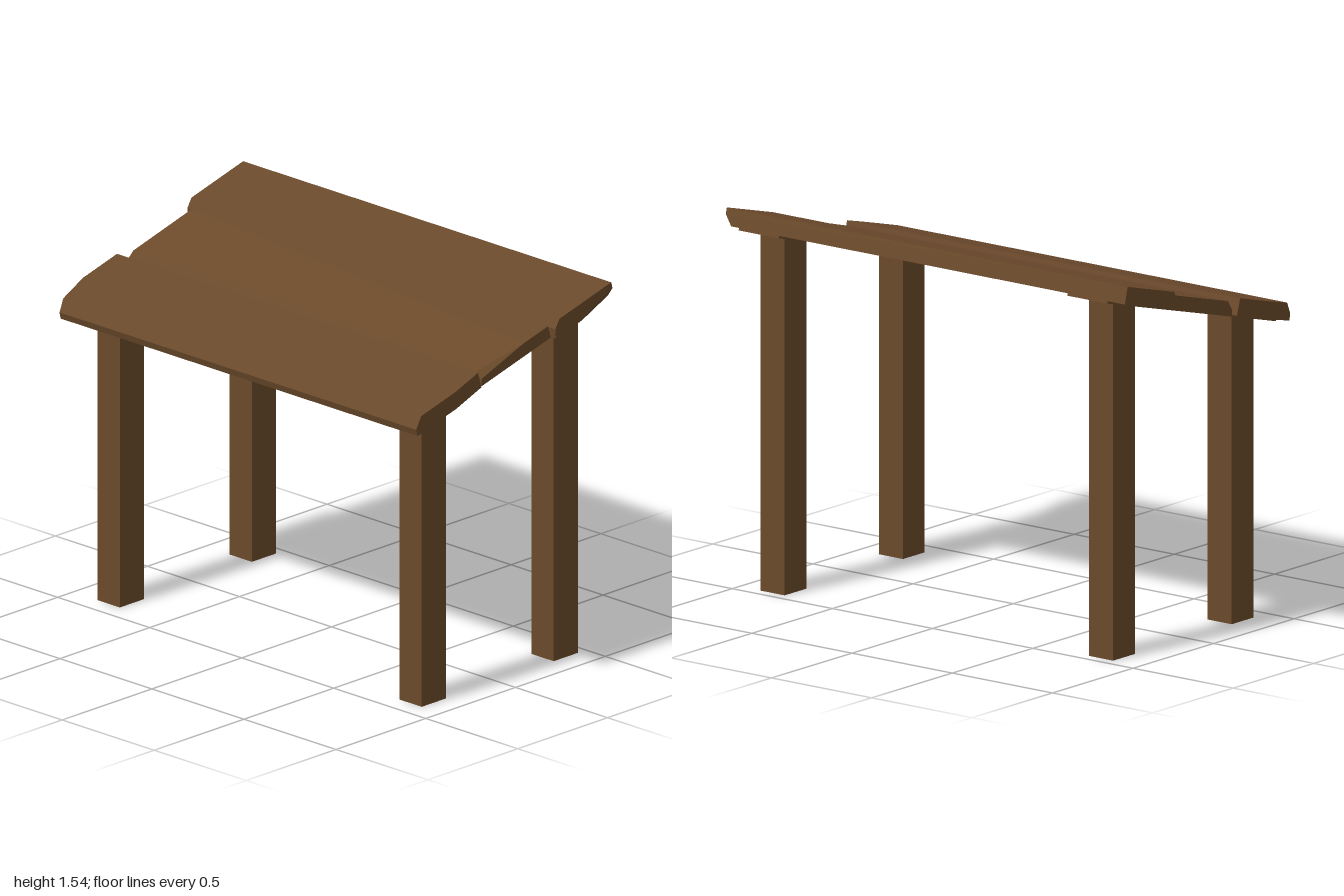
import * as THREE from 'three';
import { ConvexGeometry } from 'three/addons/geometries/ConvexGeometry.js';

// height of the sloping roof underside at depth z
const underside = (z) => 1.178 + (0.545 - z) * 0.266;

export function createModel() {
  const model = new THREE.Group();
  const wood = new THREE.MeshStandardMaterial({ color: 0x6b4a2b, flatShading: true });
  const openWood = wood.clone();
  openWood.side = THREE.DoubleSide;

  const add = (name, geometry, material = wood) => {
    const mesh = new THREE.Mesh(geometry, material);
    mesh.name = name;
    model.add(mesh);
  };

  // convex board from corners [x, z, height above the roof underside]
  const board = (name, corners) => add(name, new ConvexGeometry(
    corners.map(([x, z, h]) => new THREE.Vector3(x, underside(z) + h, z))));

  // front plank: bevelled front edge, cut corners at both ends
  board('frontPlank', [
    [-0.98, 0.17, 0], [0.98, 0.17, 0], [1, 0.33, 0], [1, 0.545, 0], [-0.94, 0.545, 0], [-0.98, 0.38, 0],
    [-0.938, 0.553, 0.03], [1, 0.553, 0.03],
    [-0.98, 0.19, 0.072], [0.982, 0.19, 0.072], [1, 0.33, 0.072], [1, 0.525, 0.072],
    [-0.945, 0.525, 0.072], [-0.98, 0.38, 0.072],
  ]);

  // middle plank: thinner and shorter, with chipped upper front corners
  board('middlePlank', [
    [-0.96, -0.222, 0], [0.975, -0.222, 0], [0.975, 0.165, 0], [-0.96, 0.165, 0],
    [-0.96, -0.206, 0.055], [0.975, -0.206, 0.055], [0.975, -0.07, 0.055],
    [0.945, 0.165, 0.053], [-0.94, 0.165, 0.053], [-0.96, 0.12, 0.054],
    [0.975, 0.165, 0.03], [-0.96, 0.165, 0.02],
  ]);

  // back plank: bevelled front edge, chipped lower back corner
  board('backPlank', [
    [-1, -0.225, 0], [1, -0.225, 0], [1, -0.37, 0], [0.965, -0.55, 0], [-1, -0.55, 0],
    [-1, -0.222, 0.04], [1, -0.222, 0.04],
    [-1, -0.245, 0.072], [1, -0.245, 0.072], [1, -0.533, 0.072], [-1, -0.533, 0.072],
    [1, -0.54, 0.045],
  ]);

  for (const [side, legX, battenX] of [['right', -0.805, -0.8], ['left', 0.835, 0.84]]) {
    // thin batten under the planks
    const corners = [];
    for (const dx of [-0.1, 0.1]) {
      corners.push([battenX + dx, 0.51, -0.011], [battenX + dx, 0.517, 0.018],
        [battenX + dx, -0.535, -0.011], [battenX + dx, -0.528, 0.018]);
    }
    board(side + 'Batten', corners);

    // hollow legs, tops cut to the roof slope
    for (const [end, z] of [['Front', 0.3475], ['Back', -0.3875]]) {
      const leg = new THREE.CylinderGeometry(Math.SQRT1_2, Math.SQRT1_2, 1, 4, 1, true);
      leg.rotateY(Math.PI / 4);
      leg.scale(0.12, 1, 0.135);
      leg.translate(legX, 0.5, z);
      const p = leg.attributes.position;
      for (let i = 0; i < p.count; i++) {
        p.setY(i, p.getY(i) > 0.5 ? underside(p.getZ(i)) : 0);
      }
      leg.computeVertexNormals();
      add(side + end + 'Leg', leg, openWood);
    }
  }
  return model;
}
